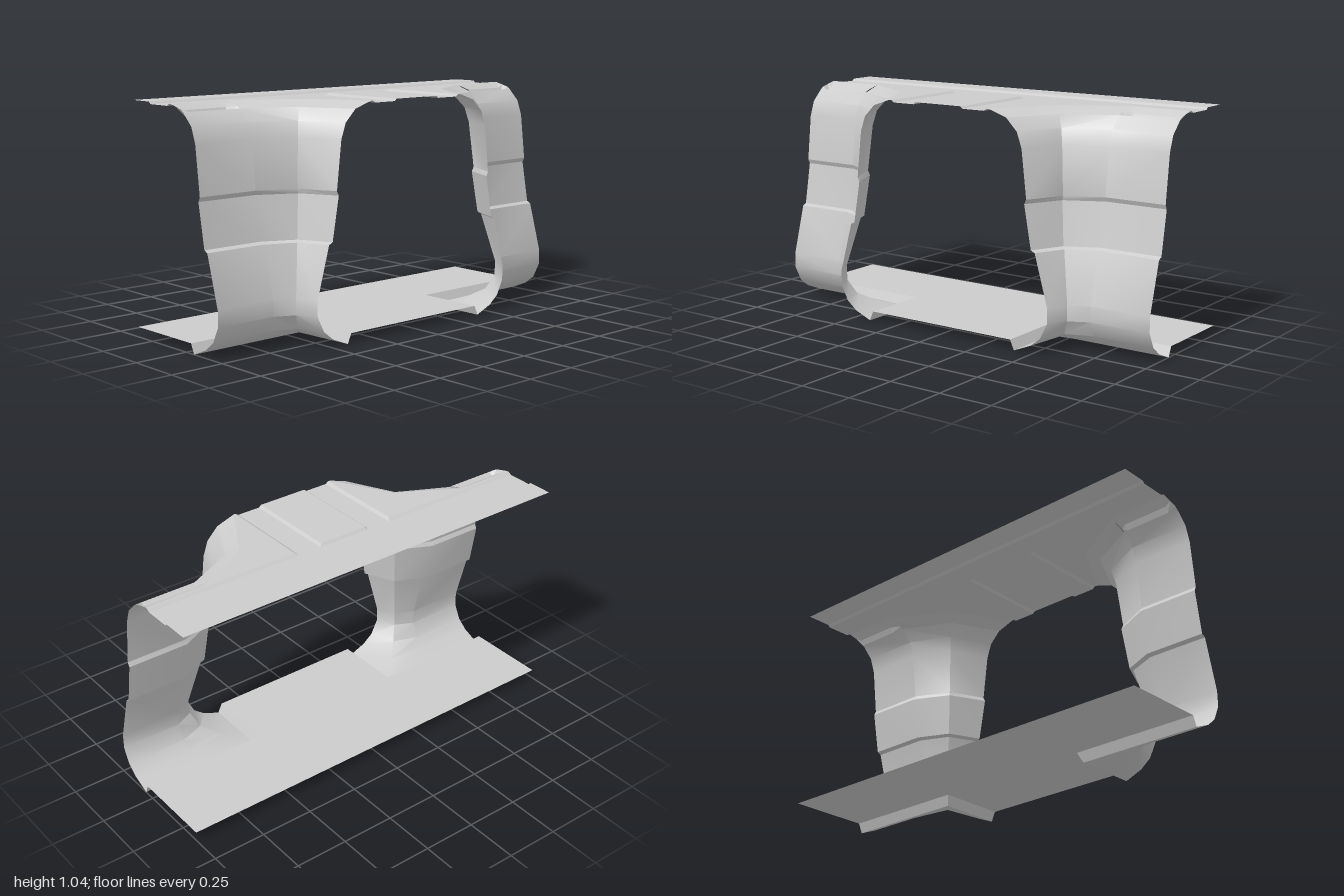
import * as THREE from 'three';
import { toCreasedNormals } from 'three/addons/utils/BufferGeometryUtils.js';

const END = 0.357;      // half depth of the module
const BEND = 0.71;      // where the straight wall starts turning
const SHIFT = BEND - END; // the corner is symmetric about the line x = z + SHIFT
const material = new THREE.MeshStandardMaterial({ color: 0xcccccc, side: THREE.DoubleSide });

// Skin a grid of points: rows of equal length
function skin(name, rows, flip = false, crease = 0.5) {
  const n = rows[0].length;
  const index = [];
  for (let r = 0; r < rows.length - 1; r++) {
    for (let c = 0; c < n - 1; c++) {
      const a = r * n + c, b = a + 1, d = a + n, e = d + 1;
      index.push(...(flip ? [a, d, b, b, d, e] : [a, b, d, b, e, d]));
    }
  }
  const geometry = new THREE.BufferGeometry();
  geometry.setAttribute('position', new THREE.Float32BufferAttribute(rows.flat(2), 3));
  geometry.setIndex(index);
  const mesh = new THREE.Mesh(toCreasedNormals(geometry, crease), material);
  mesh.name = name;
  return mesh;
}

// Flat plate from an outline of [x, z] points
function plate(name, outline, y) {
  const shape = new THREE.Shape(outline.map(([x, z]) => new THREE.Vector2(x, -z)));
  const mesh = new THREE.Mesh(new THREE.ShapeGeometry(shape).rotateX(-Math.PI / 2), material);
  mesh.position.y = y;
  mesh.name = name;
  return mesh;
}

// Corner part of a wall level: y, distance d of the wall, distance m at the corner crease
const cornerRow = (s, [y, d, m]) => [
  [s * BEND, y, d], [s * (SHIFT + m), y, m], [s * (SHIFT + d), y, END],
];
const wallRow = (s, level) => [[s, level[0], level[1]], ...cornerRow(s, level)];

// Wall levels from floor to ceiling
const wallLevels = [
  [0, 0.055, 0.055], [0.035, 0.14, 0.165], [0.075, 0.19, 0.235], [0.145, 0.225, 0.268],
  [0.215, 0.225, 0.27], [0.445, 0.16, 0.22], [0.455, 0.14, 0.208],
  [0.65, 0.105, 0.187], [0.67, 0.115, 0.193],
  [0.885, 0.09, 0.175], [0.955, 0.065, 0.16], [1.01, 0.01, 0.125],
];
const coveTop = [1.04, -0.08, 0.08];
const panelEdge = [[1.04, -0.09, -0.09], [1.03, -0.105, -0.105]];

function buildSide(s) {
  const side = new THREE.Group();
  side.name = s > 0 ? 'leftWall' : 'rightWall';
  const flip = s < 0;
  const last = wallLevels[wallLevels.length - 1];

  side.add(skin('wallSkin', wallLevels.map((l) => wallRow(s, l)), flip));
  side.add(skin('cornerCove', [last, coveTop].map((l) => cornerRow(s, l)), flip));
  side.add(skin('ceilingPanel', [coveTop, ...panelEdge].map((l) => wallRow(s, l)), flip, 0.3));

  // Shallow slot with slanted ends in the straight cove
  const slot = [[1.01, 0.01, 0.01, 1.01], [1.02, -0.005, -0.02, 0.99],
    [1.03, -0.04, -0.035, 1.015], [1.04, -0.08, -0.08, 1.04]];
  side.add(skin('coveSlot', slot.map(([y, z, zIn, yIn]) => [
    [s, y, z], [s * 0.97, yIn, zIn], [s * 0.75, yIn, zIn], [s * BEND, y, z],
  ]), flip, 0.3));

  // Lip dropping from the floor edge to the foot of the wall
  side.add(skin('floorLip', [[0.045, 0.035, 0.035], [0, 0.055, 0.055]].map((l) => wallRow(s, l)), flip));
  return side;
}

export function createModel() {
  const model = new THREE.Group();
  model.name = 'corridorJunction';
  model.add(buildSide(1), buildSide(-1));

  // Floor, notched at both wall corners
  const fx = SHIFT + 0.035;
  model.add(plate('floor', [
    [-1, -END], [1, -END], [1, 0.035], [fx, 0.035], [fx, END],
    [-fx, END], [-fx, 0.035], [-1, 0.035],
  ], 0.045));

  // Ceiling along the corridor, stepped up at the back
  const ceiling = [[1.04, -END], [1.04, -0.237], [1.03, -0.225], [1.03, -0.105]];
  model.add(skin('ceiling', ceiling.map(([y, z]) => [[-1, y, z], [1, y, z]]), true, 0.3));

  // Low strips and raised middle panel over the opening
  const px = 0.135, pin = 0.122, sx = SHIFT - 0.105;
  for (const s of [1, -1]) {
    model.add(plate('ceilingStrip', [
      [s * px, -0.105], [s * sx, -0.105], [s * sx, END], [s * px, END],
    ], 1.03));
  }
  model.add(skin('middlePanel', [
    [[-px, 1.03, -0.105], [-pin, 1.03, -0.105], [pin, 1.03, -0.105], [px, 1.03, -0.105]],
    [[-px, 1.03, -0.092], [-pin, 1.04, -0.092], [pin, 1.04, -0.092], [px, 1.03, -0.092]],
    [[-px, 1.03, END], [-pin, 1.04, END], [pin, 1.04, END], [px, 1.03, END]],
  ], true, 0.3));
  return model;
}
